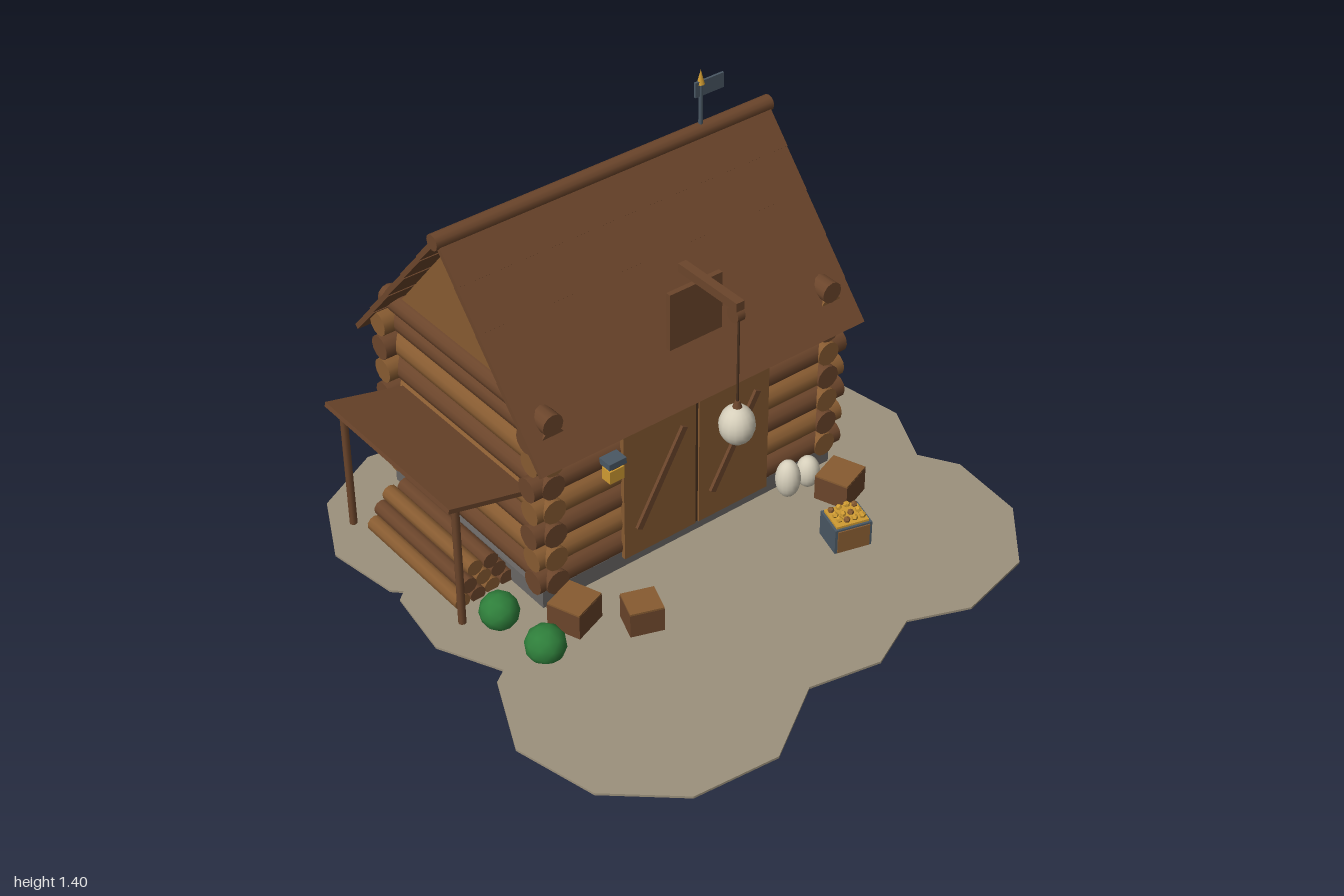
import * as THREE from 'three';

const paint = (name, color) => Object.assign(new THREE.MeshStandardMaterial({ color }), { name });

export function createModel() {
  const model = new THREE.Group();
  model.name = 'logStorehouse';
  const M = {
    dark: paint('darkWood', 0x6b452b),
    light: paint('lightWood', 0x875b31),
    earth: paint('earth', 0x9c917c),
    stone: paint('stone', 0x696664),
    cream: paint('sackCloth', 0xd6cfbb),
    leaf: paint('leaf', 0x2f7f3b),
    gold: paint('gold', 0xcf9b32),
    slate: paint('slateMetal', 0x4a5864),
    shade: paint('deepWood', 0x4b3220),
  };
  let seed = 7;
  const rnd = () => (seed = (seed * 16807) % 2147483647) / 2147483647;

  const add = (name, geo, mat, x = 0, y = 0, z = 0, parent = model) => {
    const m = new THREE.Mesh(geo, mat);
    m.name = name;
    m.position.set(x, y, z);
    parent.add(m);
    return m;
  };
  const box = (name, mat, w, h, d, x, y, z, parent) =>
    add(name, new THREE.BoxGeometry(w, h, d), mat, x, y, z, parent);
  const log = (name, mat, r, len, axis, x, y, z, sides = 12) => {
    const g = new THREE.CylinderGeometry(r, r, len, sides);
    if (axis === 'x') g.rotateZ(Math.PI / 2);
    if (axis === 'z') g.rotateX(Math.PI / 2);
    return add(name, g, mat, x, y, z);
  };

  // Ground patch, outline as x, z pairs
  const rim = [-1, .5, -.93, .78, -.72, .965, -.43, .995, -.175, .835, .065, .885, .25, .8, .445, .88,
    .71, .82, .88, .62, .905, .35, .83, .225, .93, .015, .885, -.275, .92, -.31, .995, -.585, .89, -.85,
    .65, -1, .36, -.985, .2, -.855, .105, -.93, -.17, -.935, -.31, -.845, -.34, -.86, -.59, -.9,
    -.825, -.78, -.94, -.55, -.9, -.3, -.87, -.27, -.9, -.245, -.935, 0, -.835, .21, -.88, .24];
  const outline = [];
  for (let i = 0; i < rim.length; i += 2) outline.push(new THREE.Vector2(rim[i], -rim[i + 1]));
  const ground = new THREE.ExtrudeGeometry(new THREE.Shape(outline), { depth: 0.008, bevelEnabled: false });
  ground.rotateX(-Math.PI / 2);
  add('ground', ground, M.earth, 0, 0.031, 0);

  // Stone base and inner wall
  const ZC = -0.34;
  box('foundation', M.stone, 1.16, 0.072, 0.805, 0, 0.064, ZC);
  box('innerWall', M.shade, 1.07, 0.65, 0.75, 0, 0.42, ZC);

  // Log walls crossing at the corners
  for (let i = 0; i < 7; i++) {
    const y = 0.14 + 0.091 * i;
    for (const s of [-1, 1]) {
      log('longLog', (i + (s > 0)) % 2 ? M.dark : M.light, 0.042, 1.2 + 0.045 * rnd(), 'x', 0.005, y, ZC + s * 0.383);
      log('sideLog', (i + (s > 0)) % 2 ? M.light : M.dark, 0.042, 0.85 + 0.015 * rnd(), 'z', s * 0.54, y, ZC);
    }
  }
  for (const s of [-1, 1]) log('topPlate', M.dark, 0.037, 0.865, 'z', s * 0.54, 0.742, ZC);

  // Gable block under the roof
  const tri = new THREE.Shape([[-0.345, 0.765], [0.345, 0.765], [0, 1.175]].map(p => new THREE.Vector2(...p)));
  const gable = new THREE.ExtrudeGeometry(tri, { depth: 1.1, bevelEnabled: false });
  gable.translate(0, 0, -0.55).rotateY(Math.PI / 2);
  add('gables', gable, M.light, 0, 0, ZC);

  // Roof planks, slightly overlapped, and ridge pole
  const pitch = Math.atan2(0.575, 0.485), run = 0.752, n = 5;
  for (const s of [-1, 1]) for (let i = 0; i < n; i++) {
    const t = (i + 0.5) / n;
    const plank = box('roofPlank', M.dark, 1.255, 0.018, run / n + 0.006,
      -0.002, 1.2 - 0.575 * t, ZC + s * 0.485 * t);
    plank.rotation.x = s * (pitch - 0.02);
  }
  log('ridgePole', M.dark, 0.027, 1.275, 'x', -0.002, 1.195, ZC);

  // Double door with braces and latch bar
  for (const s of [-1, 1]) {
    box('door', M.light, 0.28, 0.54, 0.016, s * 0.147, 0.368, 0.086);
    const brace = box('doorBrace', M.dark, 0.022, 0.36, 0.012, s * 0.146, 0.355, 0.099);
    brace.rotation.z = -0.52;
  }
  box('doorGap', M.shade, 0.014, 0.54, 0.008, 0, 0.368, 0.084);

  // Wall lantern
  box('lanternBody', M.gold, 0.055, 0.045, 0.04, -0.335, 0.475, 0.105);
  box('lanternCap', M.slate, 0.065, 0.022, 0.05, -0.335, 0.52, 0.105);
  box('lanternBracket', M.dark, 0.03, 0.02, 0.04, -0.335, 0.503, 0.1);

  // Loft hatch and hoist
  box('loftHatch', M.dark, 0.2, 0.2, 0.018, 0, 0.905, 0.076);
  box('hoistBeam', M.dark, 0.03, 0.03, 0.27, 0, 1.033, 0.152);
  log('hoistPulley', M.dark, 0.026, 0.028, 'x', 0, 0.998, 0.268);
  log('hoistRope', M.shade, 0.004, 0.33, 'y', 0, 0.83, 0.28, 6);
  const sack = (x, y, z, r, h) => {
    const m = add('sack', new THREE.SphereGeometry(1, 16, 12), M.cream, x, y, z);
    m.scale.set(r, h, r);
  };
  sack(0, 0.6, 0.28, 0.057, 0.068);
  add('sackTie', new THREE.CylinderGeometry(0.008, 0.017, 0.026, 8), M.dark, 0, 0.674, 0.28);

  // Weather vane
  log('vanePole', M.slate, 0.007, 0.17, 'y', 0.36, 1.285, ZC, 8);
  add('vaneTip', new THREE.ConeGeometry(0.013, 0.05, 8), M.gold, 0.36, 1.385, ZC);
  box('vaneFlag', M.slate, 0.112, 0.052, 0.008, 0.393, 1.345, ZC);

  // Lean-to with posts and firewood
  const shed = box('leanToRoof', M.dark, 0.29, 0.016, 0.67, -0.71, 0.477, -0.345);
  shed.rotation.z = -0.24;
  for (const z of [-0.645, -0.04]) log('leanToPost', M.dark, 0.013, 0.45, 'y', -0.81, 0.26, z, 8);
  for (let row = 0; row < 3; row++) for (let i = 0; i < 4 - row; i++)
    log('firewood', (i + row) % 2 ? M.dark : M.light, 0.028, 0.46 + 0.03 * rnd(), 'z',
      -0.768 + 0.058 * (i + row / 2), 0.057 + 0.05 * row, -0.34, 10);

  // Crates
  const crate = (x, z, w, h, turn) => {
    const g = new THREE.Group();
    g.name = 'crate';
    g.position.set(x, 0.038, z);
    g.rotation.y = turn;
    model.add(g);
    box('crateBody', M.dark, w, h, w * 0.94, 0, h / 2, 0, g);
    box('crateLid', M.light, w * 0.99, 0.006, w * 0.93, 0, h + 0.003, 0, g);
    return g;
  };
  crate(-0.54, 0.17, 0.125, 0.088, 0.35);
  crate(-0.385, 0.305, 0.11, 0.085, -0.35);
  crate(0.495, 0.215, 0.125, 0.088, 0.35);

  // Metal-sided chest with a heap of gold
  const chest = new THREE.Group();
  chest.name = 'goldChest';
  chest.position.set(0.36, 0.038, 0.395);
  chest.rotation.y = -0.28;
  model.add(chest);
  box('chestBody', M.slate, 0.128, 0.092, 0.11, 0, 0.046, 0, chest);
  for (const s of [-1, 1]) box('chestPanel', M.light, 0.11, 0.082, 0.006, 0, 0.045, s * 0.056, chest);
  box('goldFill', M.gold, 0.112, 0.012, 0.095, 0, 0.094, 0, chest);
  for (let i = 0; i < 12; i++) {
    const lump = add('nugget', new THREE.DodecahedronGeometry(0.011), i % 3 ? M.gold : M.light,
      -0.04 + 0.027 * (i % 4), 0.104 + 0.012 * rnd(), -0.03 + 0.03 * Math.floor(i / 4), chest);
    lump.rotation.y = rnd() * 3;
  }

  // Standing sacks beside the door
  sack(0.36, 0.108, 0.115, 0.042, 0.07);
  sack(0.445, 0.095, 0.115, 0.04, 0.058);

  // Faceted bushes: x, y, z, radius
  const bushes = [[-0.72, 0.085, 0.03, 0.064], [-0.69, 0.07, 0.225, 0.066], [0.6, 0.082, -0.385, 0.055],
    [0.595, 0.078, -0.475, 0.055], [0.08, 0.07, -0.755, 0.048], [0.6, 0.062, -0.44, 0.045]];
  bushes.forEach(([x, y, z, r], i) => {
    const m = add('bush', new THREE.IcosahedronGeometry(r, 1), M.leaf, x, y, z);
    m.rotation.set(0.3 * i, 0.9 * i, 0);
  });
  return model;
}
